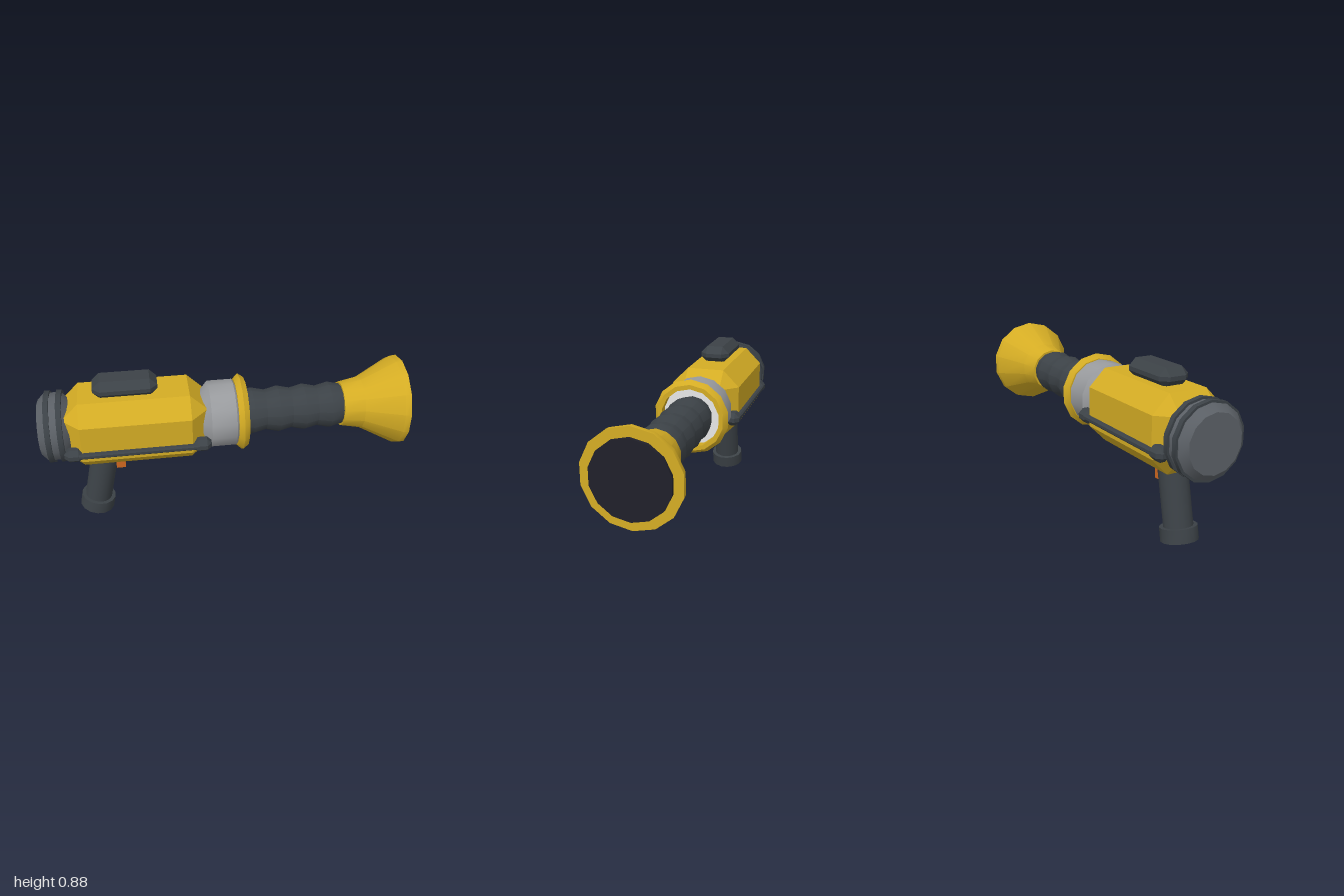
import * as THREE from 'three';
import { toCreasedNormals } from 'three/addons/utils/BufferGeometryUtils.js';
import { ConvexGeometry } from 'three/addons/geometries/ConvexGeometry.js';

const AXIS_Y = 0.593; // height of the barrel axis
const SIDES = 14;

const paint = (name, color) => {
  const m = new THREE.MeshStandardMaterial({ color });
  m.name = name;
  return m;
};

export function createModel() {
  const gold = paint('gold', 0xd4ac24);
  const charcoal = paint('charcoal', 0x3c4247);
  const steel = paint('dark steel', 0x5c6167);
  const silver = paint('silver', 0x999b9e);
  const pale = paint('pale', 0xf0f0f0);
  const black = paint('muzzle black', 0x20202a);
  const orange = paint('orange', 0xcf6820);

  const group = new THREE.Group();
  group.name = 'launcher';

  const add = (name, geometry, material, x = 0, y = 0, z = 0, parent = group) => {
    const mesh = new THREE.Mesh(geometry, material);
    mesh.name = name;
    mesh.position.set(x, y, z);
    parent.add(mesh);
    return mesh;
  };

  // Turned part along the x axis; profile is a list of [x, radius]
  const turned = (name, profile, material) => {
    const points = profile.map(([x, r]) => new THREE.Vector2(r, x));
    const geo = new THREE.LatheGeometry(points, SIDES, Math.PI / 2);
    geo.rotateZ(-Math.PI / 2);
    return add(name, toCreasedNormals(geo, 0.5), material, 0, AXIS_Y);
  };

  // Box with 45 degree chamfers on every edge
  const chamferBox = (w, h, d, c) => {
    const [a, b, e] = [w / 2, h / 2, d / 2];
    const points = [];
    for (const sx of [-1, 1]) for (const sy of [-1, 1]) for (const sz of [-1, 1]) {
      points.push(
        new THREE.Vector3(sx * a, sy * (b - c), sz * (e - c)),
        new THREE.Vector3(sx * (a - c), sy * b, sz * (e - c)),
        new THREE.Vector3(sx * (a - c), sy * (b - c), sz * e));
    }
    return new ConvexGeometry(points);
  };

  // Main housing and the pad on its top
  add('body', chamferBox(0.77, 0.398, 0.396, 0.093), gold, -0.49, AXIS_Y);
  add('topPad', chamferBox(0.34, 0.1, 0.17, 0.039), charcoal, -0.532, 0.83);

  // Rear cap with two raised bands
  turned('rearCap', [[-1, 0], [-1, 0.15], [-0.965, 0.185], [-0.875, 0.185], [-0.835, 0.14], [-0.835, 0]], steel);
  for (const x of [-0.947, -0.883]) {
    turned('rearBand', [[x - 0.014, 0.17], [x - 0.014, 0.197], [x + 0.014, 0.197], [x + 0.014, 0.17]], charcoal);
  }

  // Collar in front of the housing, with a loose ring
  turned('collar', [[-0.135, 0], [-0.135, 0.135], [-0.09, 0.185], [0.045, 0.185], [0.057, 0.172], [0.057, 0]], silver);
  turned('collarFace', [[0.055, 0.168], [0.06, 0.168], [0.06, 0]], pale);
  turned('collarRing', [[0.112, 0.165], [0.055, 0.165], [0.055, 0.187], [0.082, 0.212], [0.112, 0.19], [0.112, 0.165]], gold);

  // Ribbed hose
  const ribs = [[0.05, 0.11]];
  for (let i = 0; i < 4; i++) {
    const x = 0.15 + i * 0.144;
    ribs.push([x, 0.129], [x + 0.072, 0.112]);
  }
  turned('hose', ribs, charcoal);

  // Flared horn and dark muzzle
  turned('horn', [[0.65, 0], [0.65, 0.125], [0.76, 0.146], [0.95, 0.247], [0.982, 0.25], [0.982, 0]], gold);
  turned('muzzle', [[0.97, 0.2], [1, 0.2], [1, 0]], black);

  // Side rails with end clips, mirrored
  for (const side of [-1, 1]) {
    const rail = new THREE.Group();
    rail.name = side > 0 ? 'frontRail' : 'backRail';
    group.add(rail);
    add('railBar', chamferBox(0.72, 0.03, 0.04, 0.008), charcoal, -0.487, 0.532, side * 0.202, rail);
    for (const x of [-0.825, -0.147]) {
      add('railClip', chamferBox(0.1, 0.074, 0.08, 0.025), charcoal, x, 0.53, side * 0.182, rail);
    }
  }

  // Trigger and tilted grip
  add('trigger', new THREE.BoxGeometry(0.052, 0.13, 0.054), orange, -0.594, 0.355);
  const grip = new THREE.Group();
  grip.name = 'grip';
  grip.position.set(-0.748, 0.056, 0);
  grip.rotation.z = -0.21;
  group.add(grip);
  const cylinder = (r, h) => toCreasedNormals(new THREE.CylinderGeometry(r, r, h, SIDES), 0.5);
  add('gripHandle', cylinder(0.076, 0.4), charcoal, 0, 0.2, 0, grip);
  add('gripBase', cylinder(0.097, 0.072), charcoal, 0, 0, 0, grip);

  return group;
}
